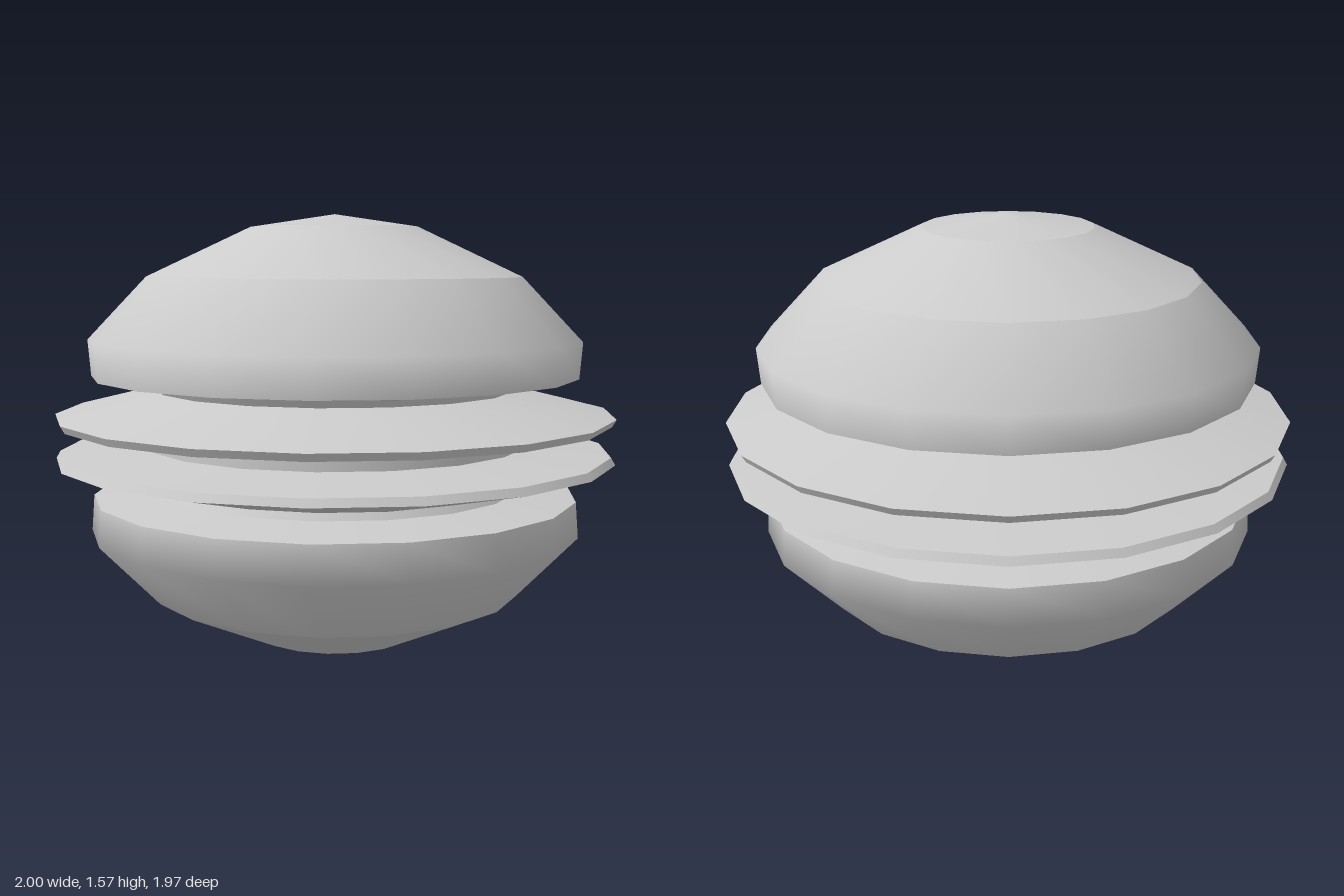
import * as THREE from 'three';

const SIDES = 18;
const MID = 0.783; // height of the mirror plane
const material = new THREE.MeshStandardMaterial({ color: 0xcccccc });

// Bands of [radius, distance from the mid plane], listed outward from the middle.
// Each band is smooth within itself and creased against its neighbours.
const parts = {
  Flange: [
    [[0.69, 0.028], [0.985, 0.053]],
    [[0.985, 0.053], [1, 0.079]],
    [[1, 0.079], [0.645, 0.166]],
  ],
  Neck: [
    [[0.645, 0.166], [0.66, 0.19]],
    [[0.66, 0.19], [0.87, 0.215]],
  ],
  Dome: [
    [[0.87, 0.215], [0.88, 0.343], [0.67, 0.564]],
    [[0.67, 0.564], [0.3, 0.738]],
    [[0.3, 0.738], [0, 0.783]],
  ],
};

// Revolved band, profile ordered bottom to top so that it faces outward
function band(points) {
  const profile = points.map(([r, y]) => new THREE.Vector2(r, y));
  return new THREE.Mesh(new THREE.LatheGeometry(profile, SIDES, Math.PI / 2), material);
}

export function createModel() {
  const model = new THREE.Group();
  model.name = 'spool';

  // Upper and lower halves
  for (const [side, sign] of [['upper', 1], ['lower', -1]]) {
    for (const [partName, bands] of Object.entries(parts)) {
      const part = new THREE.Group();
      part.name = side + partName;
      bands.forEach((points, i) => {
        const profile = points.map(([r, y]) => [r, MID + sign * y]);
        if (sign < 0) profile.reverse();
        const mesh = band(profile);
        mesh.name = `${side}${partName}Band${i + 1}`;
        part.add(mesh);
      });
      model.add(part);
    }
  }

  // Core between the two flanges
  const core = band([[0.69, MID - 0.028], [0.69, MID + 0.028]]);
  core.name = 'core';
  model.add(core);

  return model;
}
